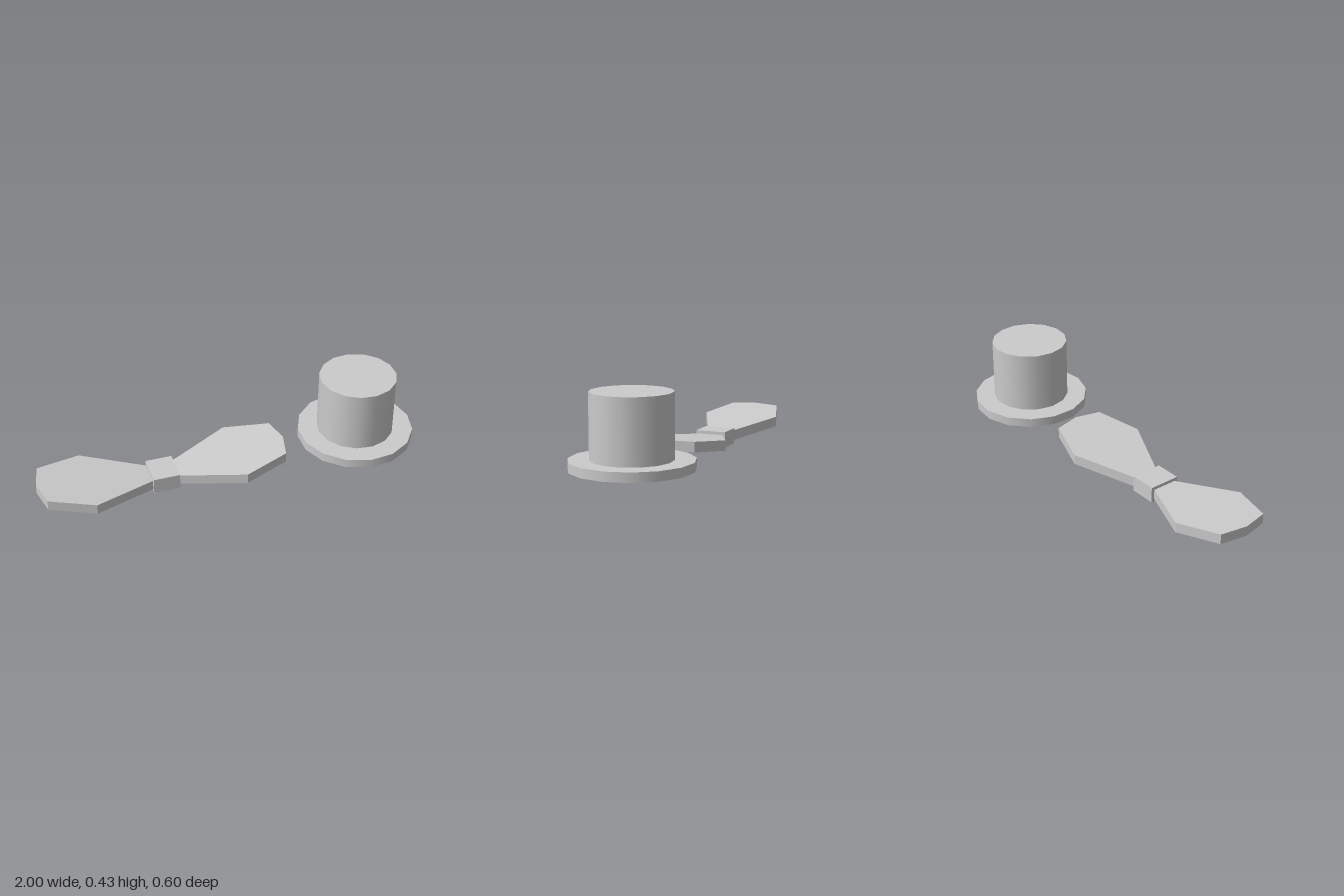
import * as THREE from 'three';

const material = new THREE.MeshStandardMaterial({ color: 0xcccccc });

function addMesh(parent, name, geometry, x, y, z = 0) {
  const mesh = new THREE.Mesh(geometry, material);
  mesh.name = name;
  mesh.position.set(x, y, z);
  parent.add(mesh);
  return mesh;
}

// Flared bow wing pointing along +x from the knot centre, rising towards its tip
function wingGeometry() {
  const half = [[0.043, 0.054], [0.388, 0.208], [0.618, 0.135]];
  const outline = [
    ...half.map(([x, z]) => new THREE.Vector2(x, -z)),
    new THREE.Vector2(0.648, 0),
    ...half.slice().reverse().map(([x, z]) => new THREE.Vector2(x, z)),
  ];
  const geometry = new THREE.ExtrudeGeometry(new THREE.Shape(outline), { depth: 0.053, bevelEnabled: false });
  geometry.rotateX(-Math.PI / 2);
  // Shear upwards so the ends stay vertical
  const p = geometry.attributes.position;
  for (let i = 0; i < p.count; i++) p.setY(i, p.getY(i) + 0.005 + 0.116 * p.getX(i));
  geometry.computeVertexNormals();
  return geometry;
}

export function createModel() {
  const model = new THREE.Group();
  model.name = 'hatAndBowTie';

  // Top hat: 15-sided brim and crown, turned half a revolution from each other
  const hat = new THREE.Group();
  hat.name = 'topHat';
  hat.position.x = 0.698;
  addMesh(hat, 'hatBrim', new THREE.CylinderGeometry(0.302, 0.302, 0.047, 15, 1, false, Math.PI / 2), 0, 0.0895);
  addMesh(hat, 'hatCrown', new THREE.CylinderGeometry(0.199, 0.199, 0.32, 15, 1, false, -Math.PI / 2), 0, 0.271);

  // Bow tie: knot with two wings
  const bow = new THREE.Group();
  bow.name = 'bowTie';
  bow.position.x = -0.352;
  addMesh(bow, 'bowKnot', new THREE.BoxGeometry(0.138, 0.083, 0.164), 0, 0.0415);
  const wing = wingGeometry();
  addMesh(bow, 'leftWing', wing, 0, 0);
  addMesh(bow, 'rightWing', wing, 0, 0).rotation.y = Math.PI;

  model.add(hat, bow);
  return model;
}
